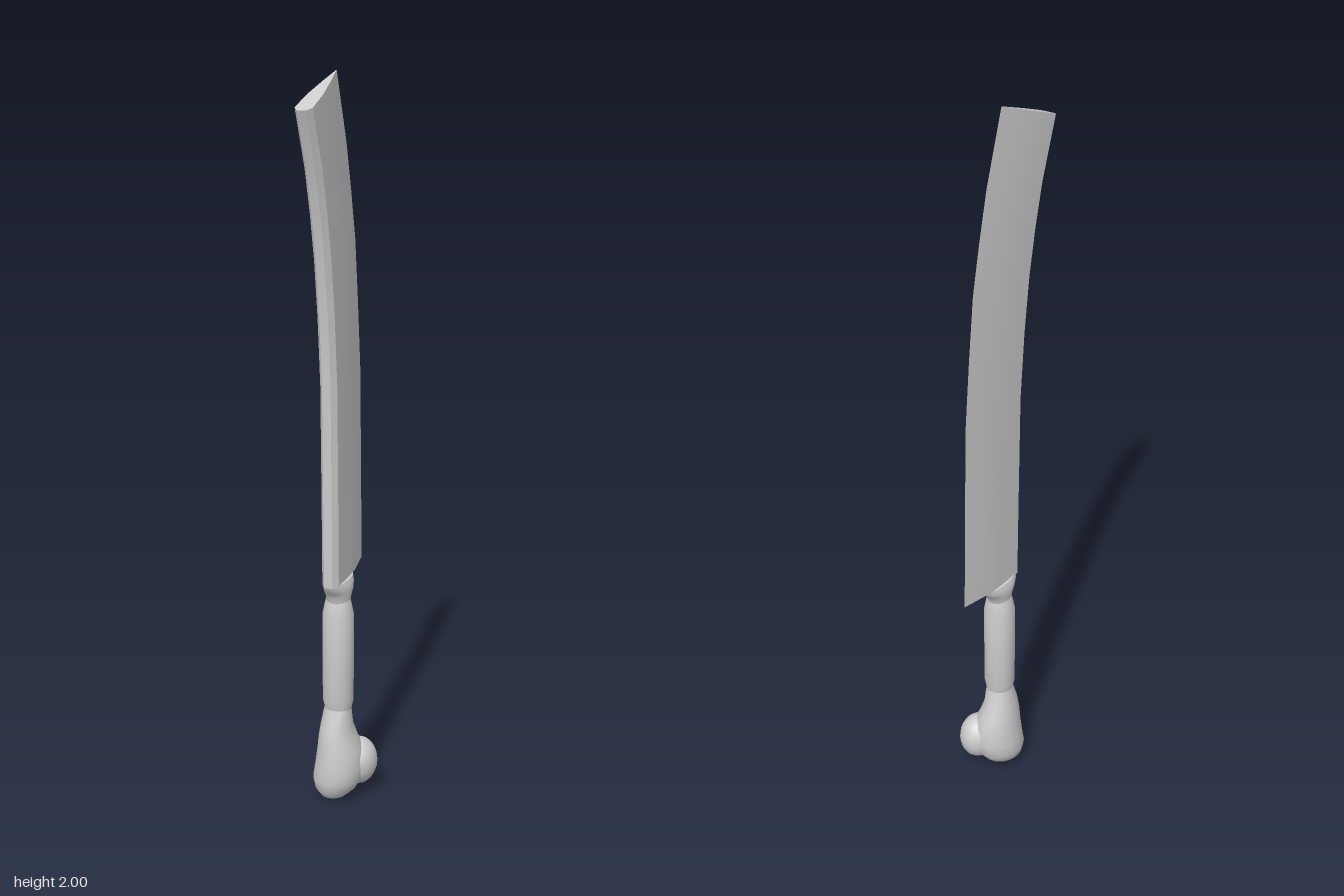
import * as THREE from 'three';
import { toCreasedNormals } from 'three/addons/utils/BufferGeometryUtils.js';

const CX = -0.013; // blade and grip axis in x
const material = new THREE.MeshStandardMaterial({ color: 0xcccccc });

// Skin a stack of equal-length rings and close both ends
function loft(rings, crease) {
  const n = rings[0].length;
  const pos = rings.flat().flatMap((p) => p.toArray());
  const index = [];
  for (let i = 0; i < rings.length - 1; i++) {
    for (let j = 0; j < n; j++) {
      const a = i * n + j, b = i * n + (j + 1) % n;
      index.push(a, a + n, b, b, a + n, b + n);
    }
  }
  const cap = (ring, start, top) => {
    const c = ring.reduce((s, p) => s.add(p), new THREE.Vector3()).divideScalar(n);
    const k = pos.length / 3;
    pos.push(...c.toArray());
    for (let j = 0; j < n; j++) {
      const a = start + j, b = start + (j + 1) % n;
      if (top) index.push(k, b, a);
      else index.push(k, a, b);
    }
  };
  cap(rings[0], 0, false);
  cap(rings[rings.length - 1], (rings.length - 1) * n, true);
  const g = new THREE.BufferGeometry();
  g.setAttribute('position', new THREE.Float32BufferAttribute(pos, 3));
  g.setIndex(index);
  return toCreasedNormals(g, crease);
}

// Ellipse ring from its extents in x and z
function ellipse([y, x0, x1, z0, z1], n = 20) {
  return Array.from({ length: n }, (_, j) => {
    const a = (j / n) * Math.PI * 2;
    return new THREE.Vector3(
      (x0 + x1) / 2 + Math.cos(a) * (x1 - x0) / 2, y,
      (z0 + z1) / 2 + Math.sin(a) * (z1 - z0) / 2);
  });
}

function add(group, name, geometry) {
  const mesh = new THREE.Mesh(geometry, material);
  mesh.name = name;
  group.add(mesh);
  return mesh;
}

// Blade section: thick rounded spine at +z tapering to a sharp edge at -z
function bladeRing([zs, ys, ze, ye, ridge, ridgeHalf]) {
  const half = [[1, 0], [ridge, ridgeHalf], [0.4, 0.021], [0.07, 0.024], [0, 0.012]];
  const at = (f, x) => new THREE.Vector3(
    CX + x, THREE.MathUtils.lerp(ys, ye, f), THREE.MathUtils.lerp(zs, ze, f));
  return [
    ...half.map(([f, x]) => at(f, x)),
    ...half.slice(1).reverse().map(([f, x]) => at(f, -x)),
  ];
}

export function createModel() {
  const group = new THREE.Group();
  group.name = 'machete';

  // Curved blade: spine z, y, edge z, y, bevel ridge position and half thickness
  add(group, 'blade', loft([
    [0.04, 0.645, -0.2, 0.66, 0.58, 0.02],
    [0.044, 0.9, -0.193, 0.9, 0.72, 0.014],
    [0.05, 1.2, -0.185, 1.2, 0.85, 0.006],
    [0.066, 1.38, -0.166, 1.39, 0.8, 0.008],
    [0.087, 1.53, -0.146, 1.56, 0.75, 0.01],
    [0.112, 1.65, -0.117, 1.69, 0.75, 0.01],
    [0.143, 1.765, -0.085, 1.815, 0.75, 0.01],
    [0.2, 1.915, -0.02, 2.0, 0.75, 0.01],
  ].map(bladeRing), 0.65));

  // Flared collar under the blade
  add(group, 'collar', loft([
    [0.585, -0.045, 0.02, -0.065, 0.005],
    [0.605, -0.047, 0.022, -0.07, 0.008],
    [0.62, -0.05, 0.025, -0.085, 0.02],
    [0.637, -0.048, 0.023, -0.1, 0.036],
    [0.65, -0.042, 0.017, -0.105, 0.04],
  ].map((s) => ellipse(s)), 0.9));

  // Straight grip
  add(group, 'grip', loft([
    [0.27, -0.05, 0.024, -0.067, 0.007],
    [0.3, -0.056, 0.03, -0.073, 0.013],
    [0.55, -0.056, 0.03, -0.073, 0.013],
    [0.58, -0.05, 0.024, -0.067, 0.007],
    [0.605, -0.043, 0.017, -0.062, 0.002],
  ].map((s) => ellipse(s)), 0.9));

  // Bone-like pommel swelling towards the bottom
  add(group, 'pommel', loft([
    [0.005, -0.04, -0.005, -0.035, 0.0],
    [0.015, -0.057, 0.015, -0.06, 0.022],
    [0.035, -0.075, 0.038, -0.09, 0.038],
    [0.065, -0.084, 0.055, -0.112, 0.044],
    [0.1, -0.079, 0.058, -0.118, 0.042],
    [0.15, -0.072, 0.052, -0.112, 0.038],
    [0.185, -0.067, 0.038, -0.098, 0.034],
    [0.22, -0.061, 0.028, -0.083, 0.026],
    [0.275, -0.051, 0.024, -0.067, 0.008],
  ].map((s) => ellipse(s)), 1.2));

  // Larger knuckle at the back left of the pommel
  const knob = add(group, 'pommelKnob', new THREE.SphereGeometry(1, 18, 12));
  knob.scale.set(0.053, 0.068, 0.058);
  knob.position.set(0.03, 0.1, -0.075);

  return group;
}
